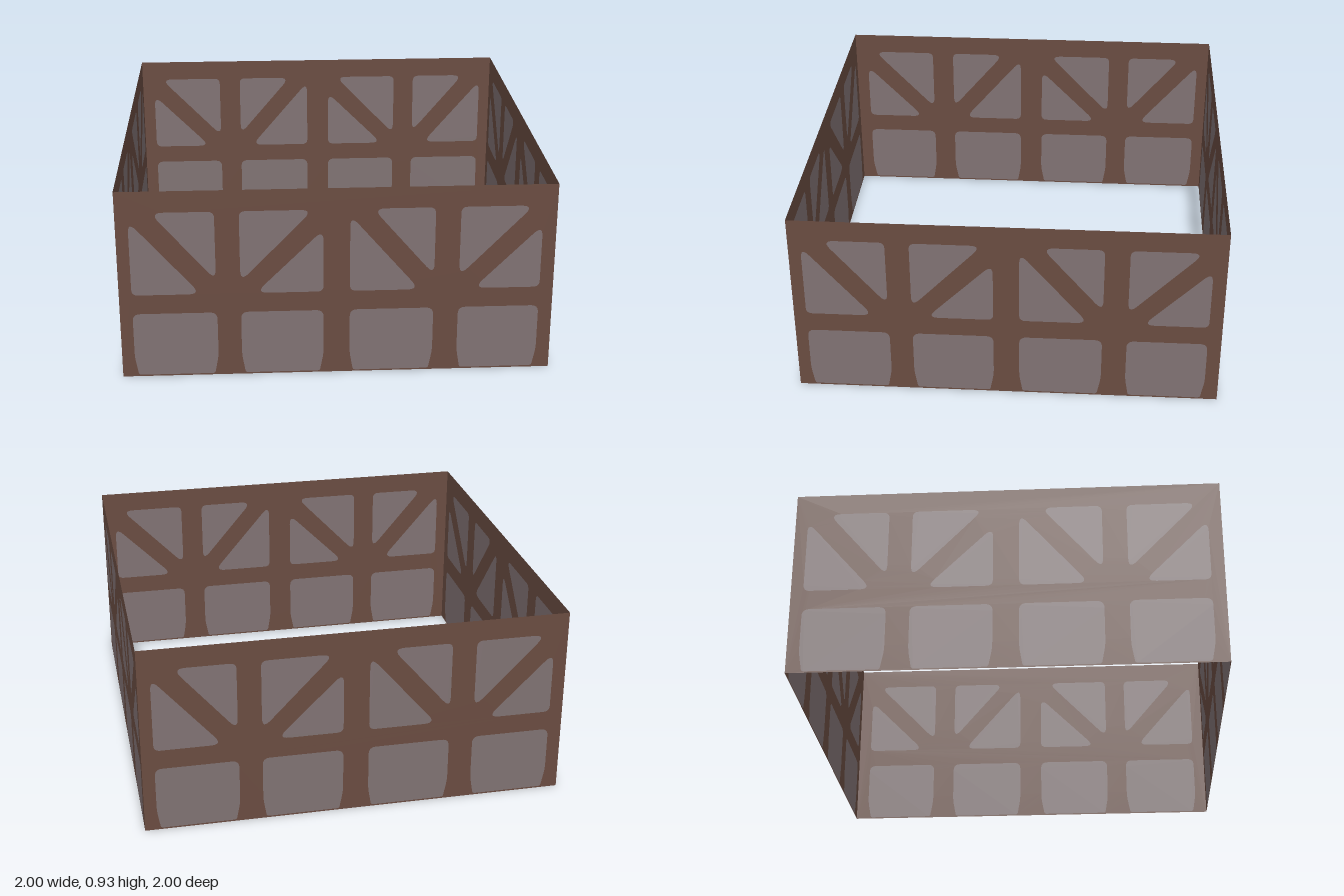
import * as THREE from 'three';

const HEIGHT = 0.927;
const timber = new THREE.MeshStandardMaterial({ name: 'brown timber', color: 0x6a4c41, side: THREE.DoubleSide });
const plaster = new THREE.MeshStandardMaterial({ name: 'grey plaster', color: 0x807273, side: THREE.DoubleSide });

// Closed polygon of [x, y, cornerSize] with softened corners
function softPolygon(points) {
  const shape = new THREE.Shape();
  const n = points.length;
  const v = points.map(([x, y]) => new THREE.Vector2(x, y));
  const toward = (a, b, d) => a.clone().add(b.clone().sub(a).setLength(d));
  for (let i = 0; i < n; i++) {
    const size = points[i][2];
    const start = toward(v[i], v[(i + n - 1) % n], size);
    const end = toward(v[i], v[(i + 1) % n], size);
    if (i === 0) shape.moveTo(start.x, start.y);
    else shape.lineTo(start.x, start.y);
    shape.quadraticCurveTo(v[i].x, v[i].y, end.x, end.y);
  }
  shape.closePath();
  return shape;
}

// Lower infill: left and right edges of each bay, tapering slightly to the ground
const bays = [[-0.942, -0.553], [-0.444, -0.063], [0.058, 0.446], [0.561, 0.937]];
const lowerPanels = bays.map(([l, r]) => softPolygon([
  [l, 0.322, 0.035], [l, 0.1, 0.03], [l + 0.016, 0.007, 0.012],
  [r - 0.018, 0.007, 0.012], [r, 0.1, 0.03], [r, 0.322, 0.035],
]));

// Upper infill: two sharp tips, then the square corner of each triangle
const triangles = [
  [-0.942, 0.785, -0.625, 0.417, -0.942, 0.417],
  [-0.842, 0.824, -0.555, 0.485, -0.555, 0.824],
  [-0.11, 0.824, -0.444, 0.475, -0.444, 0.824],
  [-0.063, 0.727, -0.375, 0.417, -0.063, 0.417],
  [0.058, 0.794, 0.38, 0.417, 0.058, 0.417],
  [0.16, 0.824, 0.446, 0.488, 0.446, 0.824],
  [0.892, 0.824, 0.561, 0.48, 0.561, 0.824],
  [0.937, 0.727, 0.63, 0.417, 0.937, 0.417],
];
const upperPanels = triangles.map(([ax, ay, bx, by, cx, cy]) => softPolygon([
  [ax, ay, 0.058], [bx, by, 0.058], [cx, cy, 0.03],
]));

export function createModel() {
  const model = new THREE.Group();
  model.name = 'timberFramedStorey';

  // Timber sheet with an opening for every infill panel
  const panels = [...lowerPanels, ...upperPanels];
  const frame = new THREE.Shape([
    new THREE.Vector2(-1, 0), new THREE.Vector2(1, 0),
    new THREE.Vector2(1, HEIGHT), new THREE.Vector2(-1, HEIGHT),
  ]);
  frame.holes = panels.map((p) => new THREE.Path(p.getPoints(6)));
  const frameGeometry = new THREE.ShapeGeometry(frame, 6);
  const lowerGeometry = new THREE.ShapeGeometry(lowerPanels, 6);
  const upperGeometry = new THREE.ShapeGeometry(upperPanels, 6);

  // The same wall on all four sides, open at top and bottom
  ['front', 'left', 'back', 'right'].forEach((side, i) => {
    const wall = new THREE.Group();
    wall.name = side + 'Wall';
    const parts = [
      ['timberFrame', frameGeometry, timber],
      ['lowerInfill', lowerGeometry, plaster],
      ['upperInfill', upperGeometry, plaster],
    ];
    for (const [name, geometry, material] of parts) {
      const mesh = new THREE.Mesh(geometry, material);
      mesh.name = name;
      mesh.position.z = 1;
      wall.add(mesh);
    }
    wall.rotation.y = i * Math.PI / 2;
    model.add(wall);
  });
  return model;
}
